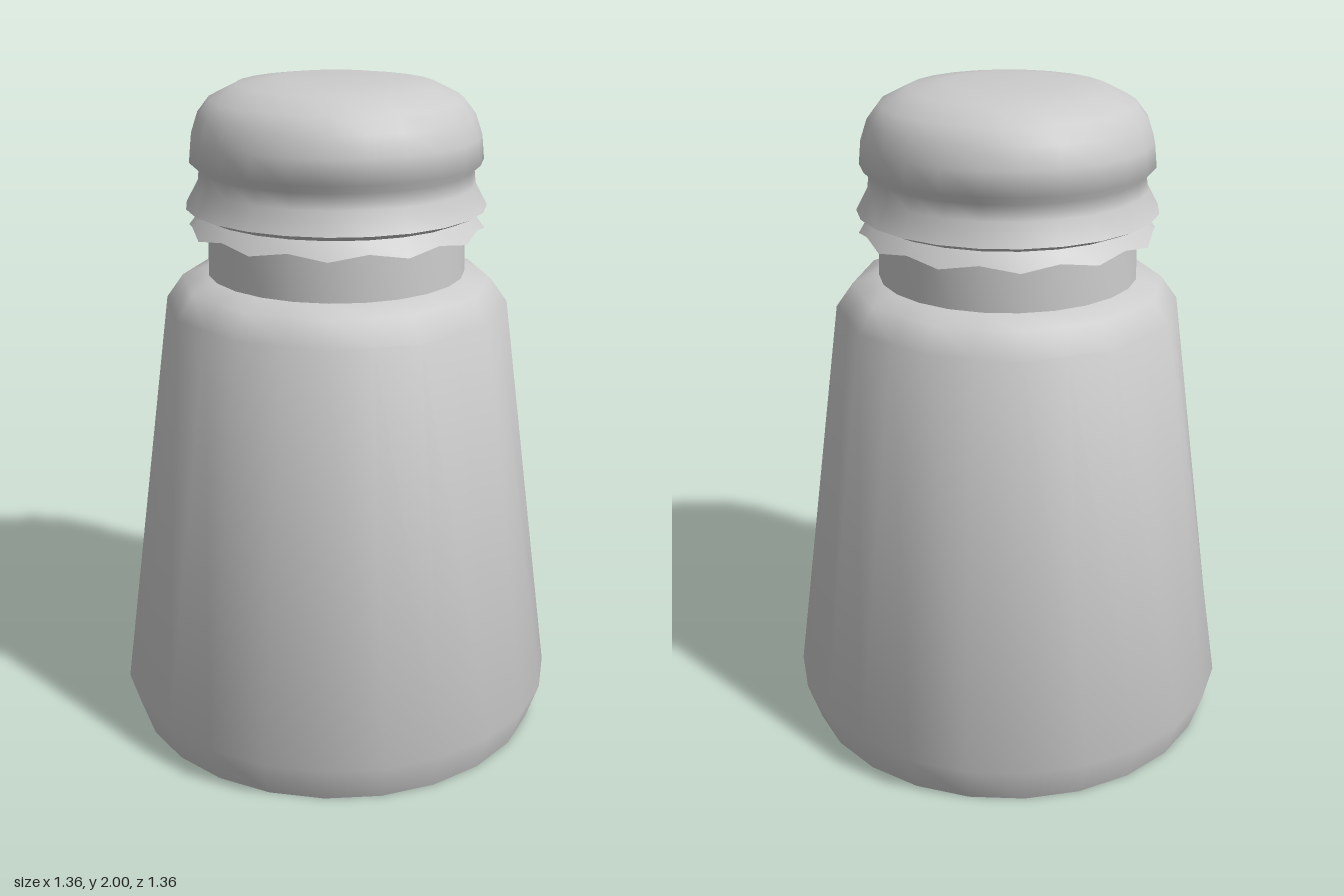
import * as THREE from 'three';
import { toCreasedNormals } from 'three/addons/utils/BufferGeometryUtils.js';

const SIDES = 24;

// Lathe a profile; adjust(v, odd) may move single corners before normals are made
function turned(name, profile, adjust) {
  const points = profile.map(([r, y]) => new THREE.Vector2(r, y));
  const geometry = new THREE.LatheGeometry(points, SIDES);
  const pos = geometry.attributes.position;
  const v = new THREE.Vector3();
  for (let i = 0; i < pos.count; i++) {
    v.fromBufferAttribute(pos, i);
    const odd = Math.floor(i / points.length) % 2 === 1;
    adjust(v, odd);
    pos.setXYZ(i, v.x, v.y, v.z);
  }
  const material = new THREE.MeshStandardMaterial({ color: 0xcccccc, side: THREE.DoubleSide });
  const mesh = new THREE.Mesh(toCreasedNormals(geometry, 1.1), material);
  mesh.name = name;
  return mesh;
}

function scaleRadius(v, s) {
  v.x *= s;
  v.z *= s;
}

export function createModel() {
  const group = new THREE.Group();
  group.name = 'shaker';

  // Tapered jar with bevelled foot, shoulder and neck; the shoulder has 12 sides
  group.add(turned('jar', [
    [0, 0], [0.64, 0], [0.68, 0.12], [0.515, 1.34], [0.465, 1.41],
    [0.385, 1.435], [0.38, 1.6],
  ], (v, odd) => {
    if (odd && v.y > 1.3 && v.y < 1.42) scaleRadius(v, Math.cos(Math.PI / 12));
  }));

  // Domed cap with a groove, a ridge and a scalloped lip
  group.add(turned('cap', [
    [0.375, 1.58], [0.44, 1.565], [0.4, 1.615], [0.445, 1.635], [0.41, 1.7],
    [0.405, 1.745], [0.432, 1.77], [0.425, 1.84], [0.405, 1.9],
    [0.37, 1.945], [0.29, 1.985], [0.18, 2], [0, 2],
  ], (v, odd) => {
    if (odd && Math.abs(v.y - 1.565) < 0.002) {
      v.y += 0.017;
      scaleRadius(v, 0.975);
    }
  }));

  return group;
}
